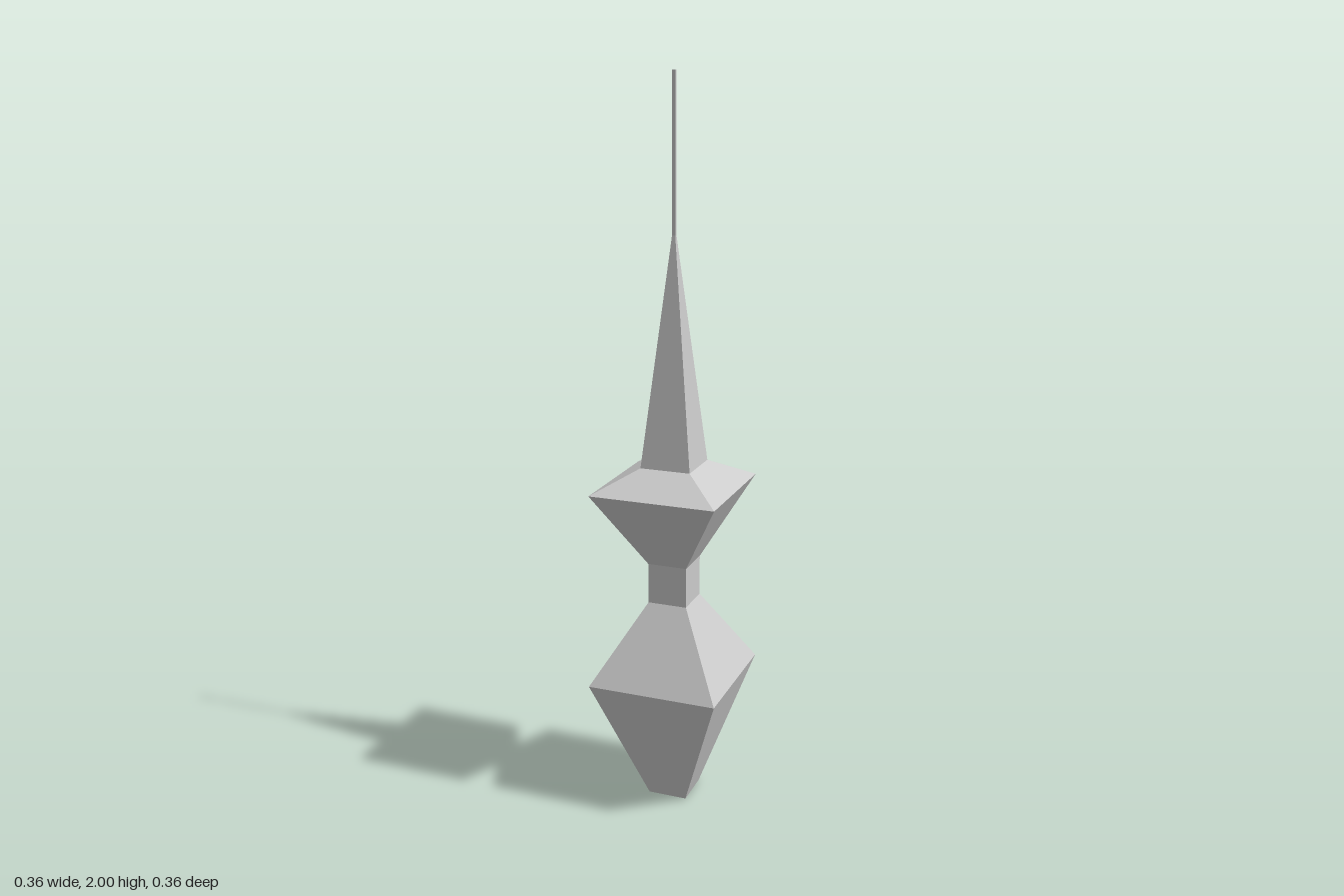
import * as THREE from 'three';

const material = new THREE.MeshStandardMaterial({ color: 0xcccccc, flatShading: true });

// Square-sectioned solid lofted through [half width, height] pairs, sides facing the axes
function squareLoft(name, profile) {
  const points = profile.map(([half, y]) => new THREE.Vector2(half * Math.SQRT2, y));
  const mesh = new THREE.Mesh(new THREE.LatheGeometry(points, 4, Math.PI / 4), material);
  mesh.name = name;
  return mesh;
}

export function createModel() {
  const model = new THREE.Group();
  model.name = 'spireFinial';
  model.add(
    // Lower double taper, closed underneath
    squareLoft('lowerBulb', [[0, 0], [0.055, 0], [0.182, 0.367], [0.055, 0.587]]),
    // Straight waist
    squareLoft('neck', [[0.055, 0.587], [0.055, 0.7]]),
    // Flared collar with a sloping top
    squareLoft('collar', [[0.055, 0.7], [0.176, 0.917], [0.07, 0.976]]),
    // Long tapering spire
    squareLoft('spire', [[0.07, 0.976], [0.0045, 1.59]]),
    // Thin rod at the tip
    squareLoft('needle', [[0.0045, 1.59], [0.0045, 2], [0, 2]]),
  );
  return model;
}
